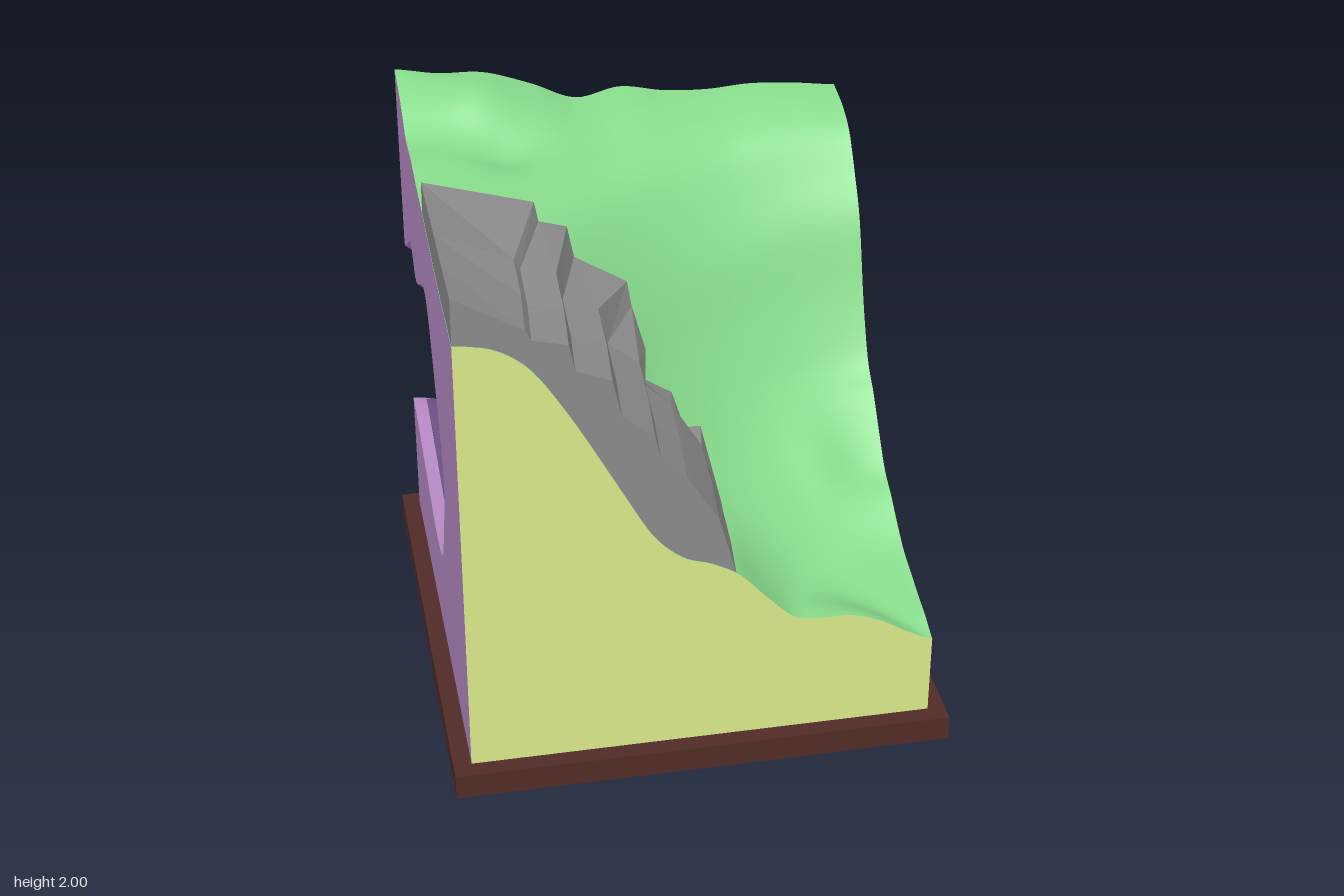
import * as THREE from 'three';

const E = 0.826, FLOOR = 0.09, N = 84;

// Smooth curve through evenly spaced values
function spline(values, step, t) {
  const last = values.length - 1;
  const u = Math.min(Math.max(t / step, 0), last);
  const i = Math.min(Math.floor(u), last - 1), f = u - i;
  const at = k => values[Math.min(Math.max(k, 0), last)];
  const a = at(i - 1), b = at(i), c = at(i + 1), d = at(i + 2);
  return b + 0.5 * f * (c - a + f * (2 * a - 5 * b + 4 * c - d + f * (3 * (b - c) + d - a)));
}

// Slope profiles by distance from the low corner, and rises along the high edges
const frontSlope = [.41, .46, .52, .555, .56, .575, .67, .78, .84, .88, .98, 1.16, 1.35, 1.53, 1.68, 1.76, 1.79, 1.8];
const sideSlope = [.41, .44, .46, .485, .51, .56, .62, .67, .77, .88, .97, 1.17, 1.45, 1.6, 1.72, 1.77, 1.79, 1.8];
const midSlope = [.41, .44, .47, .49, .51, .55, .62, .7, .79, .9, 1.04, 1.2, 1.4, 1.57, 1.7, 1.77, 1.79, 1.8];
const backRise = [.2, .165, .15, .1, .03, .06, .03, .02, .03, .02, 0];
const leftRise = [.2, .16, .08, .08, .06, .05, .03, .01, 0, 0, 0];
const bump = (x, z, cx, cz, r) => Math.exp(-((x - cx) ** 2 + (z - cz) ** 2) / (r * r));

function height(x, z) {
  const u = E - x, v = E - z, r = Math.hypot(u, v);
  const w = (u * u + 1e-9) / (u * u + v * v + 2e-9), mid = 4 * w * (1 - w);
  const edge = w * spline(frontSlope, .1, r) + (1 - w) * spline(sideSlope, .1, r);
  const slope = edge + (spline(midSlope, .1, r) - edge) * mid;
  const dL = x + E + 1e-6, dB = z + E + 1e-6, sum = dL + dB;
  const rise = spline(backRise, .166, x + E) * Math.exp(-((dB / .35) ** 2)) * dL / sum
    + spline(leftRise, .166, z + E) * Math.exp(-((dL / .5) ** 2)) * dB / sum;
  return slope + rise + .05 * bump(x, z, -.54, -.64, .15) - .04 * bump(x, z, -.48, -.42, .13)
    + .025 * bump(x, z, .58, .14, .12);
}

// Mesh from a list of equal-length point rows
function surface(rows, closed) {
  const n = rows[0].length, index = [];
  for (let j = 0; j < rows.length - 1; j++) {
    for (let i = 0; i < (closed ? n : n - 1); i++) {
      const a = j * n + i, b = j * n + (i + 1) % n;
      index.push(a, a + n, b, b, a + n, b + n);
    }
  }
  const g = new THREE.BufferGeometry().setFromPoints(rows.flat());
  g.setIndex(index);
  g.computeVertexNormals();
  return g;
}

// Cave mouth, unrolled around the back-left corner: [distance along wall, y]
const mouth = [
  [-1.16, .94], [-1.0, 1.19], [-.79, 1.37], [-.6, 1.35], [-.44, 1.27], [-.28, 1.36], [0, 1.28], [.27, 1.43],
  [.44, 1.36], [.77, 1.5], [.97, 1.28], [1.14, .95], [1.04, .67], [.93, .48], [.7, .45], [.37, .52],
  [0, .59], [-.2, .52], [-.48, .51], [-.81, .56], [-.98, .64], [-1.04, .8]];
const STEPS = 6;
const mouthCurve = new THREE.CatmullRomCurve3(mouth.map(p => new THREE.Vector3(p[0], p[1], 0)), true, 'catmullrom', .5);
const rim = [];
for (let i = 0; i < mouth.length * STEPS; i++) rim.push(mouthCurve.getPoint(i / (mouth.length * STEPS)));
const topCorner = 6 * STEPS, bottomCorner = 16 * STEPS;

const onBack = (s, y) => new THREE.Vector3(-E - s, y, -E);
const onLeft = (s, y) => new THREE.Vector3(-E, y, -E + s);
const onFront = (s, y) => new THREE.Vector3(s, y, E);
const onRight = (s, y) => new THREE.Vector3(E, y, -s);

// Flat wall whose top follows the terrain; cuts are the cave outline it meets
function wall(s0, s1, place, cutAtEnd = [], cutAtStart = []) {
  const pts = [new THREE.Vector2(s0, FLOOR), new THREE.Vector2(s1, FLOOR)];
  pts.push(...cutAtEnd.map(p => new THREE.Vector2(p.x, p.y)));
  for (let i = N; i >= 0; i--) {
    const s = s0 + (s1 - s0) * i / N, p = place(s, 0);
    pts.push(new THREE.Vector2(s, height(p.x, p.z)));
  }
  pts.push(...cutAtStart.map(p => new THREE.Vector2(p.x, p.y)));
  const g = new THREE.ShapeGeometry(new THREE.Shape(pts));
  const pos = g.attributes.position;
  for (let i = 0; i < pos.count; i++) {
    const p = place(pos.getX(i), pos.getY(i));
    pos.setXYZ(i, p.x, p.y, p.z);
  }
  g.computeVertexNormals();
  return g;
}

function terrain() {
  const rows = [];
  for (let j = 0; j <= N; j++) {
    const z = -E + 2 * E * j / N, row = [];
    for (let i = 0; i <= N; i++) {
      const x = -E + 2 * E * i / N;
      row.push(new THREE.Vector3(x, height(x, z), z));
    }
    rows.push(row);
  }
  return surface(rows, false);
}

// Cave mouth on the walls, and the same outline set slightly inward
const CAVE_Y = .92;
const outerMouth = rim.map(p => (p.x < 0 ? onBack(p.x, p.y) : onLeft(p.x, p.y)));
const innerMouth = outerMouth.map(q => new THREE.Vector3(q.x * .98 + .03, CAVE_Y + (q.y - CAVE_Y) * .95, q.z * .98 + .03));

// Rounded hollow: the mouth runs inward along the diagonal and eases into an ellipse
function cave() {
  const rows = [], rings = 24, deepest = 0;
  for (let k = 0; k <= rings; k++) {
    const a = k / rings * Math.PI / 2, inward = Math.sin(a);
    const size = Math.pow(Math.max(Math.cos(a), 0), .6), ease = THREE.MathUtils.smoothstep(inward, .1, 1);
    rows.push(innerMouth.map((q, i) => {
      const angle = Math.atan2((q.y - CAVE_Y) / .45, rim[i].x / 1.1);
      const across = THREE.MathUtils.lerp((q.z - q.x) * Math.SQRT1_2, .8 * Math.cos(angle), ease) * size;
      const y = CAVE_Y + THREE.MathUtils.lerp(q.y - CAVE_Y, .42 * Math.sin(angle), ease) * size;
      const depth = THREE.MathUtils.lerp((q.x + q.z) * Math.SQRT1_2, deepest, inward);
      return new THREE.Vector3((depth - across) * Math.SQRT1_2, y, (depth + across) * Math.SQRT1_2);
    }));
  }
  return surface(rows, true);
}

// Stepped cliff: ledge lines run from the front profile to the back profile
function cliff() {
  const front = [[-.825, 1.97], [-.59, 1.83], [-.57, 1.79], [-.45, 1.76], [-.43, 1.66], [-.31, 1.61], [-.28, 1.47],
    [-.17, 1.38], [-.15, 1.29], [-.06, 1.2], [-.04, 1.17], [.05, 1.02], [.14, .69]];
  const back = [[-.825, 1.97, .02], [-.45, 1.89, .08], [-.44, 1.83, .11], [-.34, 1.79, .09], [-.32, 1.68, .11],
    [-.15, 1.61, .19], [-.14, 1.53, .22], [-.1, 1.38, .27], [-.13, 1.29, .3], [-.01, 1.2, .28], [.03, 1.07, .31],
    [.09, 1.06, .3], [.155, .75, .41]];
  const inner = [[-.825, 1.72], [-.75, 1.7], [-.71, 1.68], [-.65, 1.62], [-.6, 1.55], [-.53, 1.45], [-.47, 1.35],
    [-.4, 1.22], [-.34, 1.1], [-.27, .98], [-.2, .88], [-.1, .8], [0, .68]];
  const V = (x, y, z) => new THREE.Vector3(x, y, z);
  const loop = (outer, buried) => [...outer, ...buried.reverse()];
  // Section parallel to the front, pushed out and raised slightly below the top edge
  const section = (z, out, up) => loop(
    front.map((p, i) => V(p[0] + (i ? out : 0), p[1] + (i ? up : 0), Math.max(z, back[i][2] + .03))),
    inner.map(p => V(p[0], p[1], Math.max(z, .45))));
  const backLoop = loop(back.map(p => V(...p)),
    back.map((p, i) => V(i ? p[0] - .12 : p[0], p[1] - .28, p[2] - .02)));
  const loops = [section(.822, 0, 0), section(.6, .02, 0), section(.4, .025, .025), backLoop];
  const skin = surface(loops, true);
  const n = front.length, index = Array.from(skin.index.array), o = (loops.length - 1) * 2 * n;
  const at = i => 2 * n - 1 - i;
  for (let i = 0; i < n - 1; i++) {
    index.push(i, at(i), i + 1, i + 1, at(i), at(i + 1));
    index.push(o + i, o + i + 1, o + at(i), o + i + 1, o + at(i + 1), o + at(i));
  }
  skin.setIndex(index);
  const flat = skin.toNonIndexed();
  flat.computeVertexNormals();
  return flat;
}

export function createModel() {
  const model = new THREE.Group();
  model.name = 'terrainBlock';
  const add = (name, geometry, color, extra = {}) => {
    const mesh = new THREE.Mesh(geometry, new THREE.MeshStandardMaterial({ color, ...extra }));
    mesh.name = name;
    model.add(mesh);
    return mesh;
  };
  const grass = 0x88dc8c, soil = 0xd8e88a, purple = 0xb48ac4;

  add('base', new THREE.BoxGeometry(1.78, .095, 1.78), 0x502b26).position.y = .0475;
  add('grassSlope', terrain(), grass);
  add('frontWall', wall(-E, E, onFront), soil);
  add('rightWall', wall(-E, E, onRight), soil);

  // Cave walls share the mouth outline at the corner
  const backCut = [...rim.slice(bottomCorner), ...rim.slice(0, topCorner + 1)];
  const leftCut = rim.slice(topCorner, bottomCorner + 1);
  add('backWall', wall(-2 * E, 0, onBack, backCut), purple);
  add('leftWall', wall(0, 2 * E, onLeft, [], leftCut), purple);
  add('caveLip', surface([outerMouth, innerMouth], true), purple, { side: THREE.DoubleSide });
  add('cave', cave(), 0x6b4c80, { side: THREE.DoubleSide });

  add('rockCliff', cliff(), 0x8a8a8a, { flatShading: true, side: THREE.DoubleSide });
  return model;
}
